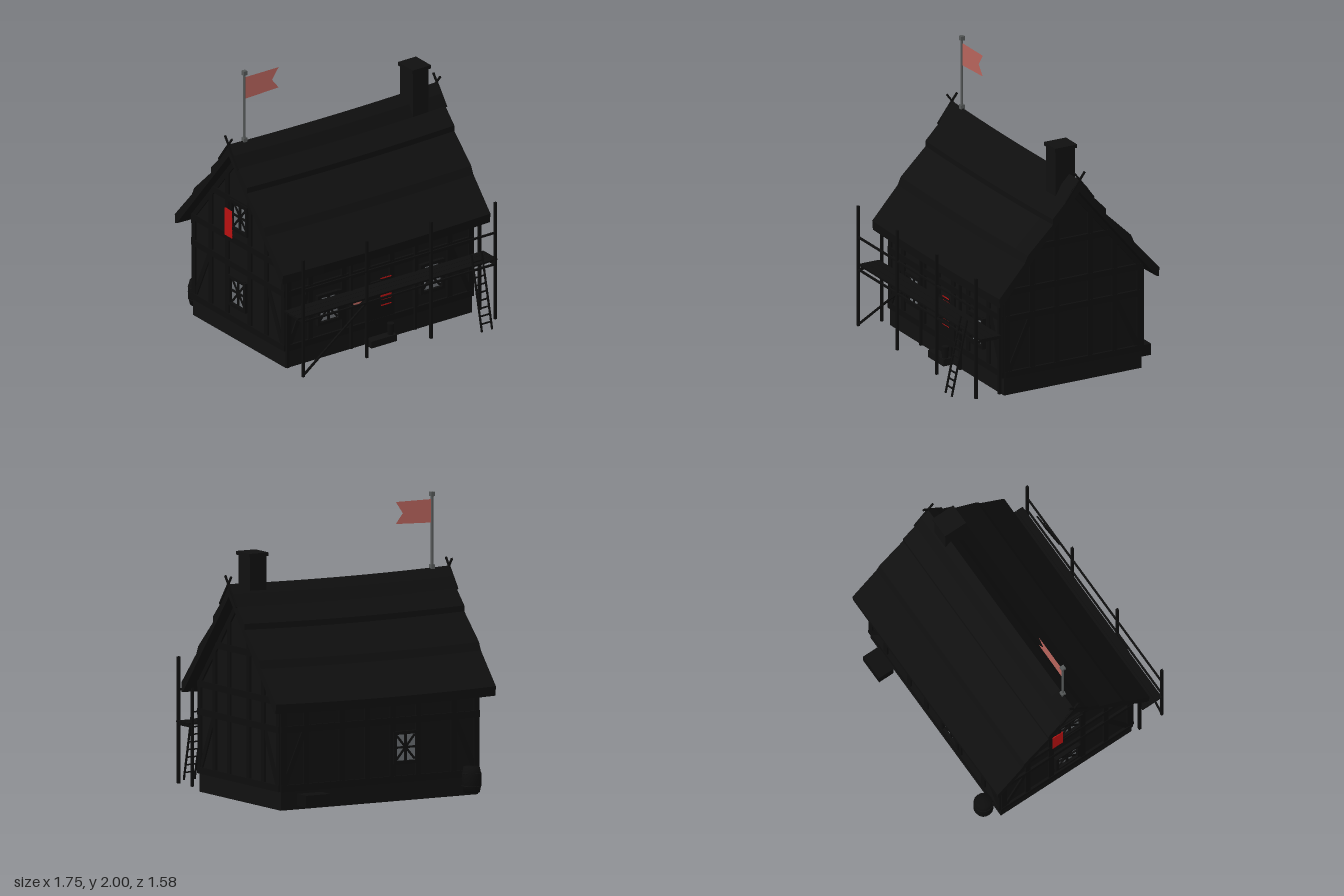
import * as THREE from 'three';

const mat = (name, color, side = THREE.FrontSide) => {
  const m = new THREE.MeshStandardMaterial({ color, side });
  m.name = name;
  return m;
};

export function createModel() {
  const black = mat('charred walls', 0x101010);
  const timber = mat('dark timber', 0x0d0d0d);
  const roofMat = mat('dark thatch', 0x0f0f0f);
  const glass = mat('grey glass', 0x686c70);
  const metal = mat('grey pole', 0x555858);
  const pink = mat('faded red cloth', 0xb8645c, THREE.DoubleSide);
  const red = mat('bright red cloth', 0xb81010, THREE.DoubleSide);

  const model = new THREE.Group();
  model.name = 'timberHouse';
  const CZ = -0.105; // z of the ridge

  const add = (name, geo, m, x = 0, y = 0, z = 0, parent = model) => {
    const mesh = new THREE.Mesh(geo, m);
    mesh.name = name;
    mesh.position.set(x, y, z);
    parent.add(mesh);
    return mesh;
  };
  const box = (name, m, w, h, d, x, y, z, parent) =>
    add(name, new THREE.BoxGeometry(w, h, d), m, x, y, z, parent);
  // square bar between two points
  const bar = (name, m, a, b, t, parent) => {
    const p = new THREE.Vector3(...a), q = new THREE.Vector3(...b);
    const mid = p.clone().add(q).multiplyScalar(0.5);
    const mesh = box(name, m, t, p.distanceTo(q), t, mid.x, mid.y, mid.z, parent);
    mesh.quaternion.setFromUnitVectors(new THREE.Vector3(0, 1, 0), q.sub(p).normalize());
    return mesh;
  };
  const shape = pts => new THREE.Shape(pts.map(p => new THREE.Vector2(...p)));
  // section in (z, y) extruded along x, centred
  const alongX = (pts, length, steps = 1) =>
    new THREE.ExtrudeGeometry(shape(pts), { depth: length, steps, bevelEnabled: false })
      .translate(0, 0, -length / 2).rotateY(-Math.PI / 2);

  // Walls, open at the bottom
  box('frontWall', black, 1.55, 0.78, 0.03, 0, 0.39, 0.415);
  box('backWall', black, 1.55, 0.78, 0.03, 0, 0.39, -0.625);
  const gable = [[-0.535, 0], [0.535, 0], [0.535, 0.77], [0, 1.42], [-0.535, 0.77]];
  for (const s of [1, -1]) add('gableWall', alongX(gable, 0.03), black, s * 0.76, 0, CZ);

  // Timber frames, drawn flat in each wall's own plane
  const panel = (name, x, z, angle) => {
    const g = new THREE.Group();
    g.name = name;
    g.position.set(x, 0, z);
    g.rotation.y = angle;
    model.add(g);
    return g;
  };
  const front = panel('frontFrame', 0, 0.43, 0);
  const back = panel('backFrame', 0, -0.64, Math.PI);
  const right = panel('rightFrame', 0.775, CZ, Math.PI / 2);
  const left = panel('leftFrame', -0.775, CZ, -Math.PI / 2);
  const beam = (g, u1, y1, u2, y2, w = 0.045, d = 0.02) => {
    const mesh = box('beam', timber, Math.hypot(u2 - u1, y2 - y1), w, d,
      (u1 + u2) / 2, (y1 + y2) / 2, d / 2 - 0.003, g);
    mesh.rotation.z = Math.atan2(y2 - y1, u2 - u1);
  };
  for (const g of [front, back]) {
    for (const y of [0.15, 0.55, 0.7]) beam(g, -0.78, y, 0.78, y);
    for (const u of [0.76, 0.58, 0.3, 0.1]) {
      for (const s of [1, -1]) beam(g, s * u, 0.13, s * u, 0.72, 0.04, 0.017);
    }
    for (const s of [1, -1]) beam(g, s * 0.75, 0.17, s * 0.59, 0.54, 0.035, 0.014);
  }
  for (const g of [right, left]) {
    for (const y of [0.15, 0.55, 0.74]) beam(g, -0.535, y, 0.535, y);
    beam(g, -0.3, 1.03, 0.3, 1.03);
    for (const s of [1, -1]) {
      for (const u of [0.515, 0.32, 0.13]) beam(g, s * u, 0.13, s * u, 1.37 - 1.2 * u, 0.04, 0.017);
      beam(g, s * 0.5, 0.17, s * 0.33, 0.54, 0.035, 0.014);
      beam(g, s * 0.53, 0.74, 0, 1.37, 0.04, 0.016);
    }
  }

  // Windows: pane through the wall, lattice outside, cross bars inside
  const windowAt = (g, u, y, w = 0.155, h = 0.18) => {
    const win = new THREE.Group();
    win.name = 'window';
    win.position.set(u, y, 0);
    g.add(win);
    box('pane', glass, w, h, 0.04, 0, 0, -0.014, win);
    for (const s of [1, -1]) {
      box('windowJamb', timber, 0.022, h + 0.04, 0.075, s * (w / 2 + 0.011), 0, -0.01, win);
      box('windowRail', timber, w, 0.022, 0.075, 0, s * (h / 2 + 0.011), -0.01, win);
      const diagonal = box('lattice', timber, Math.hypot(w, h) - 0.02, 0.014, 0.008, 0, 0, 0.01, win);
      diagonal.rotation.z = s * Math.atan2(h, w);
    }
    box('mullion', timber, 0.016, h, 0.06, 0, 0, -0.014, win);
    box('transom', timber, w, 0.014, 0.06, 0, 0, -0.014, win);
  };
  windowAt(front, -0.43, 0.365);
  windowAt(front, 0.43, 0.365);
  windowAt(back, 0.2, 0.365);
  windowAt(left, 0, 0.36);
  windowAt(left, 0.02, 0.93);

  // Door, step and bucket
  box('door', timber, 0.2, 0.4, 0.05, -0.02, 0.25, 0.42);
  box('doorStep', black, 0.21, 0.05, 0.1, -0.015, 0.025, 0.46);
  add('bucket', new THREE.CylinderGeometry(0.026, 0.022, 0.08, 10), timber, 0.06, 0.09, 0.479);

  // Shield and banners
  add('shield', new THREE.ShapeGeometry(shape(
    [[-0.05, 0.43], [-0.05, 0.35], [0, 0.31], [0.05, 0.35], [0.05, 0.43]])), pink, -0.2, 0, 0.454);
  const banner = (g, u, y, bands) => {
    box('bannerCloth', timber, 0.085, 0.21, 0.006, u, y, 0.026, g);
    for (const [c, h] of bands) box('bannerBand', red, 0.085, h, 0.008, u, y + c, 0.027, g);
  };
  banner(front, 0.038, 0.37, [[0.1, 0.008], [0.055, 0.042], [-0.028, 0.064], [-0.1, 0.008]]);
  banner(left, -0.09, 0.85, [[0.005, 0.2]]);

  // Stepped roof with a slight sag along the ridge
  const slope = [[0.06, 1.425], [0.105, 1.345], [0.207, 1.24], [0.207, 1.2], [0.4, 1.015],
    [0.425, 0.96], [0.622, 0.74], [0.617, 0.675]];
  const roof = alongX([[0, 1.487], ...slope, [0.6, 0.68], [0, 1.4],
    ...[[0.6, 0.68], ...slope.slice().reverse()].map(([u, y]) => [-u, y])].reverse(), 1.73, 10);
  const p = roof.attributes.position;
  for (let i = 0; i < p.count; i++) {
    p.setY(i, p.getY(i) - 0.014 * (1 - (p.getX(i) / 0.865) ** 2));
  }
  roof.computeVertexNormals();
  add('roof', roof, roofMat, 0, 0, CZ);

  // Crossed gable horns
  for (const x of [-0.868, 0.868]) {
    for (const s of [1, -1]) {
      bar('gableHorn', timber, [x, 1.34, CZ - s * 0.11], [x, 1.54, CZ + s * 0.04], 0.012);
    }
  }

  // Chimney
  box('chimney', black, 0.13, 0.5, 0.15, 0.66, 1.42, -0.075);
  box('chimneyCap', black, 0.152, 0.025, 0.172, 0.66, 1.677, -0.075);

  // Flag
  add('flagPole', new THREE.CylinderGeometry(0.009, 0.009, 0.5, 8), metal, -0.735, 1.735, CZ);
  for (const y of [1.49, 1.985]) box('poleKnob', metal, 0.03, 0.03, 0.03, -0.735, y, CZ);
  add('flag', new THREE.ShapeGeometry(shape(
    [[0, 1.79], [0.28, 1.8], [0.225, 1.87], [0.28, 1.95], [0, 1.95]])), pink, -0.73, 0, CZ);

  // Scaffold
  const scaffold = new THREE.Group();
  scaffold.name = 'scaffold';
  model.add(scaffold);
  for (const x of [-0.8, -0.27, 0.265, 0.8]) {
    bar('outerPost', timber, [x, 0.03, 0.662], [x, 0.895, 0.662], 0.018, scaffold);
    bar('innerPost', timber, [x, 0.03, 0.48], [x, 0.74, 0.48], 0.018, scaffold);
    bar('bearer', timber, [x, 0.437, 0.48], [x, 0.437, 0.66], 0.014, scaffold);
  }
  for (const z of [0.51, 0.564, 0.618]) {
    box('plank', timber, 1.66, 0.012, 0.052, 0, 0.457, z, scaffold);
  }
  bar('handRail', timber, [-0.8, 0.67, 0.662], [0.8, 0.67, 0.662], 0.013, scaffold);
  bar('ledger', timber, [-0.8, 0.437, 0.662], [0.8, 0.437, 0.662], 0.013, scaffold);
  bar('brace', timber, [-0.8, 0.04, 0.662], [-0.27, 0.44, 0.662], 0.013, scaffold);

  // Ladder
  const rail = (x, t) => [x, 0.03 + 0.53 * t, 0.785 - 0.12 * t];
  for (const x of [0.6, 0.685]) bar('ladderRail', timber, rail(x, 0), rail(x, 1), 0.011);
  for (let i = 1; i < 10; i++) bar('rung', timber, rail(0.6, i / 10), rail(0.685, i / 10), 0.009);

  // Barrel and chest behind the house
  const staves = [[0, 0], [0.055, 0], [0.066, 0.05], [0.068, 0.087], [0.066, 0.125], [0.055, 0.175], [0, 0.175]];
  add('barrel', new THREE.LatheGeometry(staves.map(q => new THREE.Vector2(...q)), 14),
    timber, -0.68, 0.03, -0.717);
  for (const y of [0.075, 0.16]) {
    const hoop = add('barrelHoop', new THREE.TorusGeometry(0.065, 0.004, 5, 14), black, -0.68, y, -0.717);
    hoop.rotation.x = Math.PI / 2;
  }
  box('chest', timber, 0.19, 0.08, 0.12, 0.565, 0.07, -0.72);
  return model;
}
